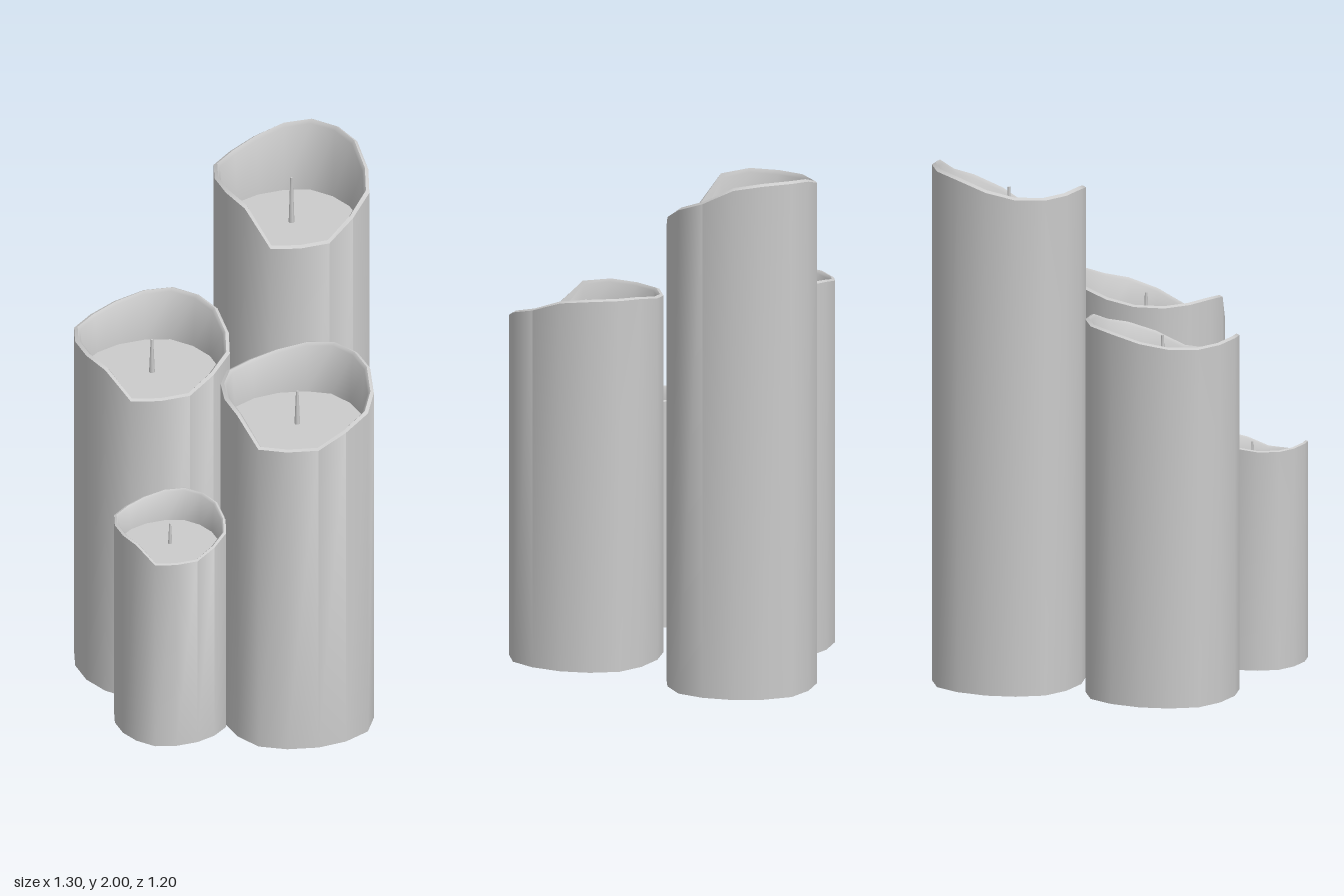
import * as THREE from 'three';
import { toCreasedNormals } from 'three/addons/utils/BufferGeometryUtils.js';

const SIDES = 16;
const FLOOR = 1.71;
// One quarter of the rounded-square outline, repeated by quarter turns
const QUARTER = [[0.285, 0], [0.265, 0.118], [0.213, 0.215], [0.112, 0.268]];
// Height of the melted rim at each corner, going from +x towards +z
const RIM = [1.985, 1.925, 1.885, 1.83, 1.76, 1.76, 1.76, 1.9,
  1.92, 1.92, 1.92, 1.925, 1.95, 1.985, 2, 2];

// Closed outline at a given scale; height is a function of the corner index
function ring(scale, height) {
  return Array.from({ length: SIDES }, (_, k) => {
    let [x, z] = QUARTER[k % 4];
    for (let q = 0; q < Math.floor(k / 4); q++) [x, z] = [-z, x];
    return [x * scale, height(k), z * scale];
  });
}

// Skin a sequence of outlines
function loft(rings, crease) {
  const index = [];
  for (let r = 0; r < rings.length - 1; r++) {
    for (let k = 0; k < SIDES; k++) {
      const a = r * SIDES + k, b = r * SIDES + (k + 1) % SIDES;
      index.push(a, a + SIDES, b, b, a + SIDES, b + SIDES);
    }
  }
  const g = new THREE.BufferGeometry();
  g.setAttribute('position', new THREE.Float32BufferAttribute(rings.flat(2), 3));
  g.setIndex(index);
  return toCreasedNormals(g, crease);
}

function createCandle(name, material) {
  const candle = new THREE.Group();
  candle.name = name;
  const add = (part, geometry) => {
    const mesh = new THREE.Mesh(geometry, material);
    mesh.name = part;
    candle.add(mesh);
    return mesh;
  };
  // Base, outer wall, rounded lip and sloping inner wall
  add('waxBody', loft([
    ring(0, () => 0),
    ring(1, () => 0),
    ring(1, (k) => RIM[k] - 0.008),
    ring(0.955, (k) => RIM[k]),
    ring(0.92, (k) => RIM[k] - 0.015),
    ring(0.88, () => FLOOR),
  ], 0.9));
  // Recessed wax surface
  add('waxPool', loft([ring(0.88, () => FLOOR), ring(0, () => FLOOR)], 0.5));
  // Tapered wick
  const wick = add('wick', new THREE.CylinderGeometry(0.005, 0.011, 0.19, 6));
  wick.position.y = FLOOR + 0.095;
  return candle;
}

export function createModel() {
  const model = new THREE.Group();
  model.name = 'candleGroup';
  const wax = new THREE.MeshStandardMaterial({ color: 0xcccccc });
  // name, position, width scale, height scale, turn
  const candles = [
    ['tallCandle', [0.361, 0, -0.32], 1, 1, 0],
    ['backCandle', [-0.245, 0, -0.32], 1, 0.7225, 0],
    ['frontCandle', [0.022, 0, 0.306], 1, 0.7225, -0.24],
    ['smallCandle', [-0.445, 0.03, 0.16], 0.72, 0.44, 0],
  ];
  for (const [name, position, width, height, turn] of candles) {
    const candle = createCandle(name, wax);
    candle.position.set(...position);
    candle.scale.set(width, height, width);
    candle.rotation.y = turn;
    model.add(candle);
  }
  return model;
}
